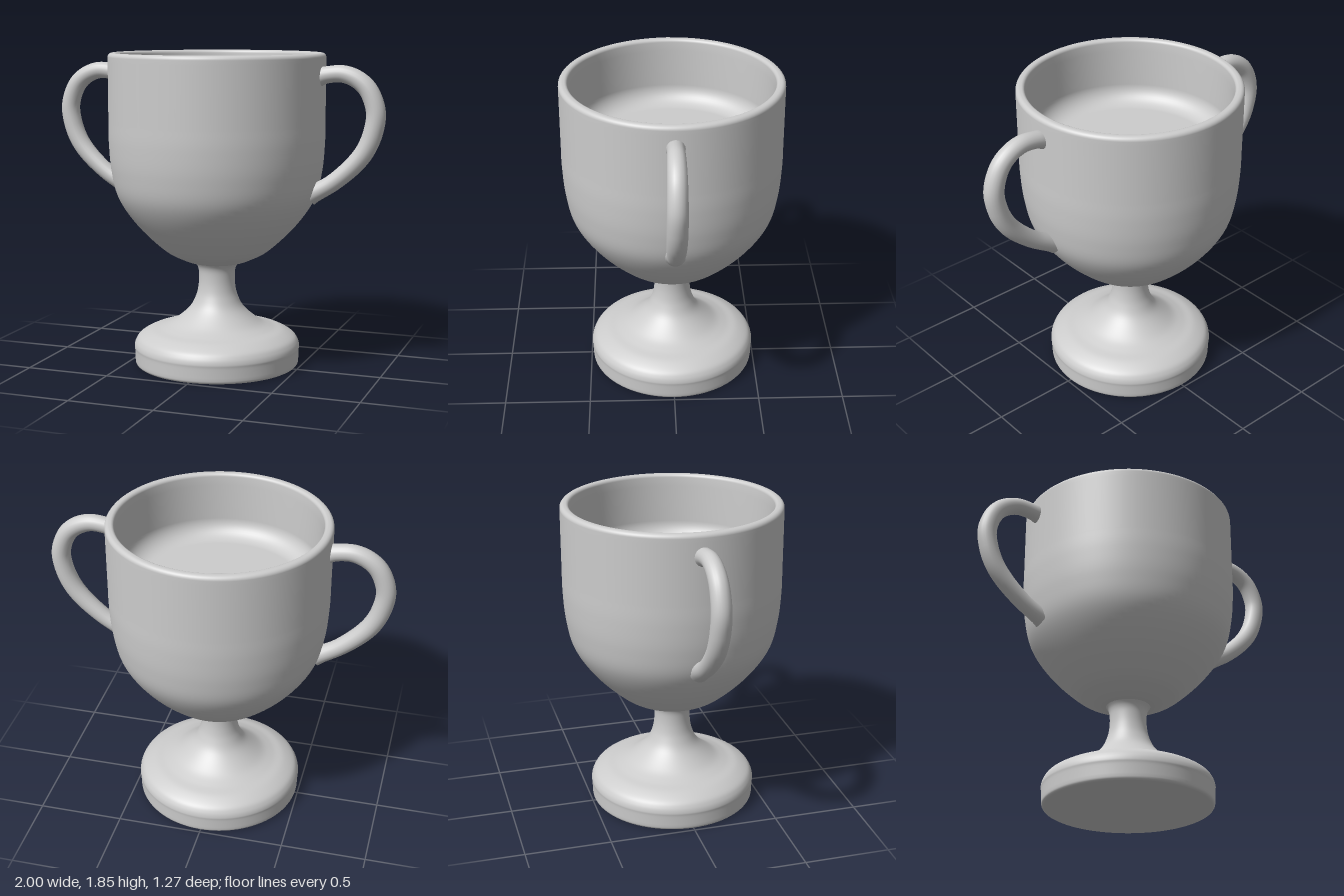
import * as THREE from 'three';

const v2 = (list) => list.map(([x, y]) => new THREE.Vector2(x, y));
// Smooth run of profile points through a few control points
const smooth = (list, n) => new THREE.SplineCurve(v2(list)).getPoints(n);
// Rounded corner of a profile, from angle a to angle b (degrees)
const corner = (cx, cy, r, a, b, n = 8) => Array.from({ length: n + 1 }, (_, i) => {
  const t = THREE.MathUtils.degToRad(a + (b - a) * i / n);
  return new THREE.Vector2(cx + r * Math.cos(t), cy + r * Math.sin(t));
});

// Tube whose thickness follows radiusAt(u)
function taperedTube(curve, segments, sides, radiusAt) {
  const geo = new THREE.TubeGeometry(curve, segments, 1, sides, false);
  const pos = geo.attributes.position;
  const p = new THREE.Vector3();
  for (let i = 0; i <= segments; i++) {
    const u = i / segments;
    const centre = curve.getPointAt(u);
    for (let j = 0; j <= sides; j++) {
      const k = i * (sides + 1) + j;
      p.fromBufferAttribute(pos, k).sub(centre).multiplyScalar(radiusAt(u)).add(centre);
      pos.setXYZ(k, p.x, p.y, p.z);
    }
  }
  return geo;
}

export function createModel() {
  const group = new THREE.Group();
  const silver = new THREE.MeshStandardMaterial({ color: 0xcccccc });
  silver.name = 'silver';

  const add = (name, geometry) => {
    const mesh = new THREE.Mesh(geometry, silver);
    mesh.name = name;
    group.add(mesh);
    return mesh;
  };

  // Flat underside
  const underside = new THREE.CircleGeometry(0.472, 80);
  underside.rotateX(Math.PI / 2);
  add('underside', underside);

  // Foot: low drum, domed shoulder, and flared stem
  add('footAndStem', new THREE.LatheGeometry([
    ...corner(0.468, 0.02, 0.02, -90, 0, 5),
    ...smooth([[0.489, 0.03], [0.491, 0.09], [0.493, 0.115], [0.484, 0.145], [0.46, 0.175],
      [0.4, 0.207], [0.33, 0.226], [0.255, 0.26], [0.165, 0.337], [0.125, 0.41],
      [0.109, 0.48], [0.107, 0.55], [0.115, 0.59], [0.135, 0.62]], 70),
  ], 80));

  // Bowl: rounded outside, rolled lip, straight inner wall and shallow floor
  add('bowl', new THREE.LatheGeometry([
    ...smooth([[0, 0.605], [0.13, 0.612], [0.22, 0.642], [0.32, 0.7], [0.47, 0.845],
      [0.578, 1.005], [0.618, 1.166], [0.632, 1.33], [0.633, 1.45]], 50),
    new THREE.Vector2(0.633, 1.8),
    ...corner(0.608, 1.825, 0.025, 0, 90),
    ...corner(0.6, 1.83, 0.02, 90, 180),
    new THREE.Vector2(0.576, 1.78),
    ...corner(0.465, 1.56, 0.11, 0, -90, 12),
    new THREE.Vector2(0.43, 1.45),
    new THREE.Vector2(0, 1.45),
  ], 96));

  // Pair of ear-shaped handles, thickest at the outer bend and flared at the joints
  const path = new THREE.CatmullRomCurve3([
    [0.6, 1.715], [0.66, 1.731], [0.755, 1.737], [0.84, 1.705], [0.902, 1.645], [0.944, 1.525],
    [0.928, 1.405], [0.885, 1.305], [0.82, 1.222], [0.71, 1.125], [0.64, 1.08], [0.57, 1.045],
  ].map(([x, y]) => new THREE.Vector3(x, y, 0)));
  const handle = taperedTube(path, 72, 20, (u) =>
    0.044 + 0.012 * Math.sin(Math.PI * u) + 0.018 * (Math.exp(-u * 35) + Math.exp((u - 1) * 22)));
  add('leftHandle', handle);
  add('rightHandle', handle).rotation.y = Math.PI;

  return group;
}
